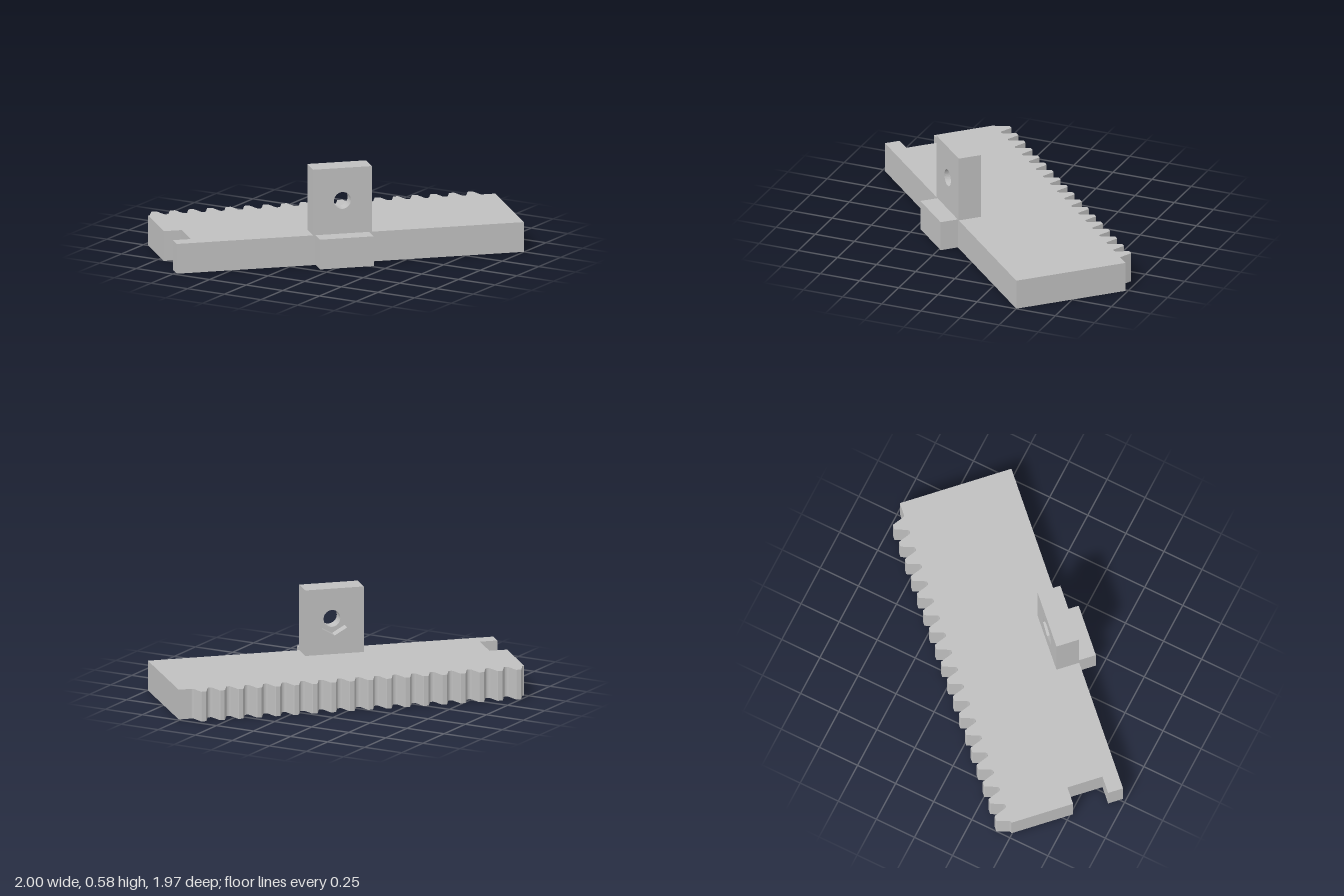
import * as THREE from 'three';

const HEIGHT = 0.18;          // thickness of the rack plate
const ROOT = 0.336, TIP = 0.417, FRONT = 0.352;
const TEETH = 18, PITCH = 0.1124, FIRST = -0.982;
const LUG_X = -0.036, HOLE_Y = 0.38;

// Plate outline seen from above, with teeth along the back and a notch in the left end
function rackShape() {
  const s = new THREE.Shape();
  s.moveTo(1.06, -FRONT);
  s.lineTo(1.06, ROOT);
  const f = 0.01;             // root fillet
  for (let i = TEETH - 1; i >= 0; i--) {
    const c = FIRST + i * PITCH;
    s.lineTo(c + 0.0445 + f, ROOT);
    s.quadraticCurveTo(c + 0.0445, ROOT, c + 0.0445 - f * 0.36, ROOT + f);
    s.lineTo(c + 0.0165, TIP - 0.003);
    s.lineTo(c + 0.0135, TIP);
    s.lineTo(c - 0.0135, TIP);
    s.lineTo(c - 0.0165, TIP - 0.003);
    s.lineTo(c - 0.0445 + f * 0.36, ROOT + f);
    s.quadraticCurveTo(c - 0.0445, ROOT, c - 0.0445 - f, ROOT);
  }
  [[-1.037, ROOT], [-1.037, -0.044], [-0.93, -0.044], [-0.93, -0.26], [-1.037, -0.26], [-1.037, -FRONT]]
    .forEach(([x, y]) => s.lineTo(x, y));
  s.closePath();
  return s;
}

// Upright lug face with a polygonal opening
function lugShape(sides, radius) {
  const w = 0.177, s = new THREE.Shape();
  s.moveTo(LUG_X - w, HEIGHT);
  s.lineTo(LUG_X + w, HEIGHT);
  s.lineTo(LUG_X + w, 0.577);
  s.lineTo(LUG_X - w, 0.577);
  s.closePath();
  const pts = [];
  for (let i = 0; i < sides; i++) {
    const a = Math.PI / 2 - (i / sides) * Math.PI * 2;
    pts.push(new THREE.Vector2(LUG_X + Math.cos(a) * radius, HOLE_Y + Math.sin(a) * radius));
  }
  s.holes.push(new THREE.Path(pts));
  return s;
}

export function createModel() {
  const grey = new THREE.MeshStandardMaterial({ color: 0xc0c0c0 });
  grey.name = 'plain grey';
  const model = new THREE.Group();
  model.name = 'gearRack';
  const body = new THREE.Group();
  body.name = 'rackBody';
  body.rotation.y = Math.PI / 4;   // the rack lies diagonally
  model.add(body);

  const add = (name, geometry) => {
    const mesh = new THREE.Mesh(geometry, grey);
    mesh.name = name;
    body.add(mesh);
    return mesh;
  };
  const extrude = (shape, depth) =>
    new THREE.ExtrudeGeometry(shape, { depth, bevelEnabled: false, curveSegments: 4 });

  // Toothed plate
  add('toothedPlate', extrude(rackShape(), HEIGHT).rotateX(-Math.PI / 2));

  // Upright lug: hexagonal nut pocket behind, round bolt hole in front
  add('lugNutPocket', extrude(lugShape(6, 0.088), 0.06).translate(0, 0, 0.212));
  add('lugBoltHole', extrude(lugShape(32, 0.051), 0.08).translate(0, 0, 0.272));

  // Small block on the front edge
  add('frontBlock', new THREE.BoxGeometry(0.324, HEIGHT, 0.108)
    .translate(LUG_X, HEIGHT / 2, FRONT + 0.054));

  return model;
}
